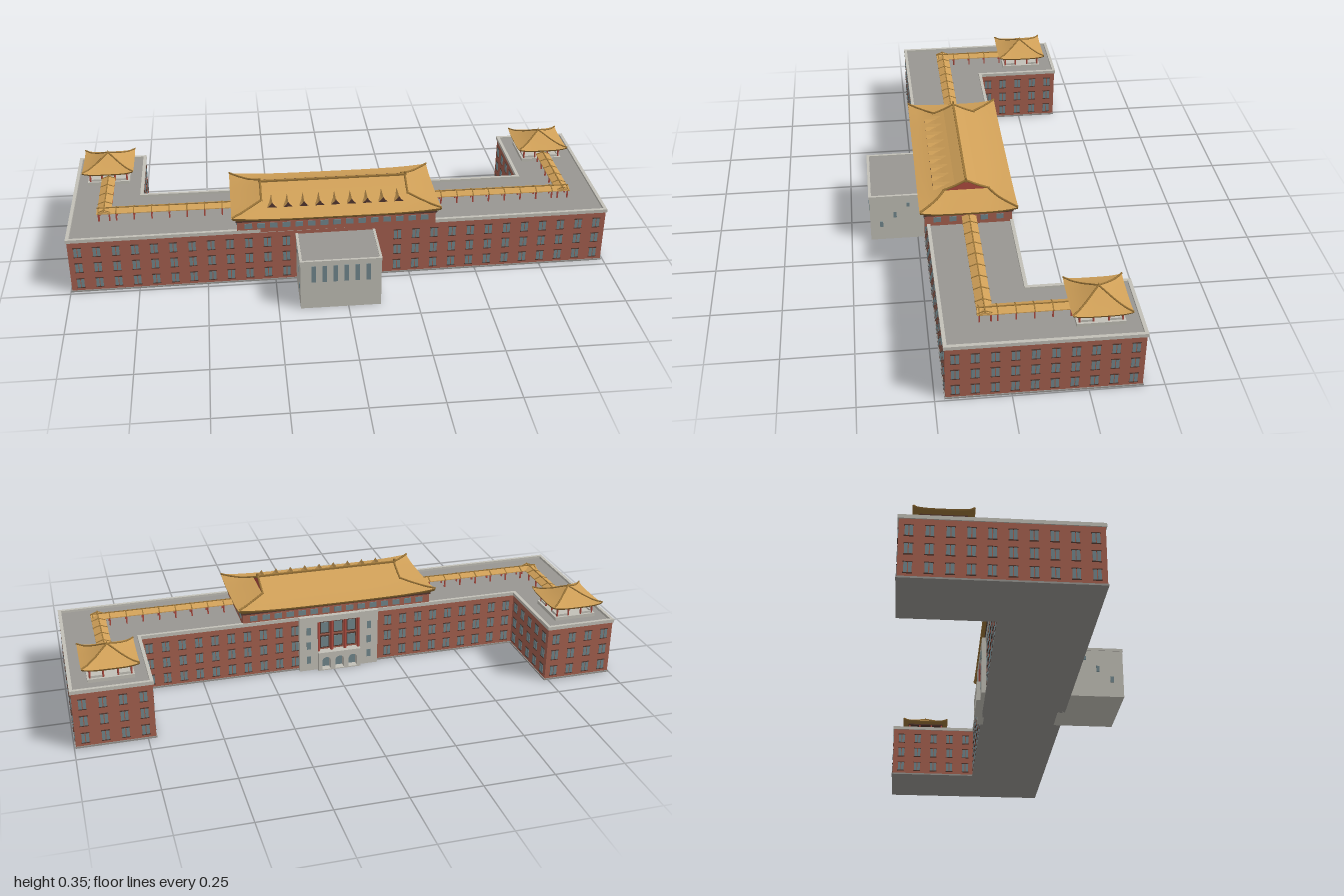
import * as THREE from 'three';
import { mergeGeometries } from 'three/addons/utils/BufferGeometryUtils.js';

const mat = (name, color, side = THREE.FrontSide) => {
  const m = new THREE.MeshStandardMaterial({ color, side });
  m.name = name;
  return m;
};

export function createModel() {
  const model = new THREE.Group();
  const brick = mat('brick', 0xa5604f), stone = mat('pale stone', 0xc2c0b7), deck = mat('grey deck', 0x989692);
  const glass = mat('window glass', 0x71878d), gold = mat('golden tile', 0xd0a058, THREE.DoubleSide);
  const trim = mat('dark gold trim', 0x9a7437), red = mat('red timber', 0xb04c40), dark = mat('dark frame', 0x54382f);

  const add = (name, geo, material, parent = model) => {
    const m = new THREE.Mesh(geo, material);
    m.name = name;
    parent.add(m);
    return m;
  };
  const box = (w, h, d, x, y, z) => new THREE.BoxGeometry(w, h, d).translate(x, y, z);
  // box given by its limits
  const span = (x0, x1, y0, y1, z0, z1) => box(x1 - x0, y1 - y0, z1 - z0, (x0 + x1) / 2, (y0 + y1) / 2, (z0 + z1) / 2);

  // ---- U-shaped main block: corner x, z and the direction towards the inside
  const corners = [[-0.995, 0.235, 1, -1], [0.99, 0.215, -1, -1], [0.994, -0.427, -1, 1], [0.722, -0.427, 1, 1],
    [0.722, -0.08, 1, 1], [-0.737, -0.08, -1, 1], [-0.737, -0.403, -1, 1], [-0.995, -0.403, 1, 1]];
  const outline = inset => corners.map(([x, z, sx, sz]) => new THREE.Vector2(x + sx * inset, -(z + sz * inset)));
  const slab = (outer, y0, y1, inner) => {
    const s = new THREE.Shape(outline(outer));
    if (inner !== undefined) s.holes.push(new THREE.Path(outline(inner)));
    return new THREE.ExtrudeGeometry(s, { depth: y1 - y0, bevelEnabled: false }).rotateX(-Math.PI / 2).translate(0, y0, 0);
  };
  add('mainWalls', slab(0, 0, 0.212), [deck, brick]);
  add('plinth', slab(-0.003, 0, 0.006), deck);
  add('parapet', slab(-0.004, 0.208, 0.221, 0.008), stone);

  // ---- paired windows in three floors along every outer wall
  const panes = [], frames = [];
  corners.forEach(([ax, az], e) => {
    const [bx, bz] = corners[(e + 1) % corners.length];
    const len = Math.hypot(bx - ax, bz - az), dx = (bx - ax) / len, dz = (bz - az) / len;
    const pitch = e === 0 ? 0.068 : 0.0595, n = Math.round((len - 0.02) / pitch);
    for (let i = 0; i < n; i++) {
      const t = (i + 0.5) * len / n, x = ax + dx * t, z = az + dz * t;
      if (e === 0 && Math.abs(x + 0.025) < 0.165) continue;
      if (e === 4 && Math.abs(x + 0.022) < 0.165) continue;
      for (const y of [0.037, 0.102, 0.166]) {
        const place = g => g.rotateY(Math.atan2(-dz, dx)).translate(x, y, z);
        for (const s of [-1, 1]) panes.push(place(box(0.011, 0.035, 0.005, s * 0.0072, 0, 0)));
        frames.push(place(box(0.03, 0.003, 0.006, 0, 0.019, 0)), place(box(0.03, 0.003, 0.006, 0, -0.019, 0)));
      }
    }
  });
  add('wallWindows', mergeGeometries(panes), glass);
  add('windowSills', mergeGeometries(frames), dark);

  // ---- front annex
  add('annex', span(-0.172, 0.117, 0, 0.19, 0.2, 0.427), stone);
  add('annexRoof', span(-0.164, 0.109, 0.19, 0.192, 0.2, 0.419), deck);
  add('annexParapet', mergeGeometries([span(-0.174, 0.119, 0.186, 0.196, 0.42, 0.429),
    span(-0.174, -0.165, 0.186, 0.196, 0.2, 0.429), span(0.11, 0.119, 0.186, 0.196, 0.2, 0.429)]), stone);
  const annexPanes = [];
  for (let i = 0; i < 6; i++) annexPanes.push(box(0.016, 0.066, 0.004, -0.125 + i * 0.039, 0.142, 0.427));
  for (const x of [-0.172, 0.117])
    for (const [z, y] of [[0.385, 0.07], [0.333, 0.111], [0.283, 0.154]])
      annexPanes.push(box(0.004, y < 0.15 ? 0.024 : 0.016, 0.012, x, y, z));
  add('annexWindows', mergeGeometries(annexPanes), glass);

  // ---- roof helpers
  // four hipped sides through rings [halfX, halfZ, height, cornerLift]
  const hipped = rings => {
    const parts = [], N = 12;
    for (let k = 0; k < 4; k++) {
      const pos = [], idx = [];
      rings.forEach(([hx, hz, y, lift], j) => {
        for (let i = 0; i <= N; i++) {
          const s = i / N * 2 - 1;
          pos.push(s * (k % 2 ? hz : hx), y + lift * Math.abs(s) ** 4, k % 2 ? hx : hz);
          if (j && i) {
            const c = j * (N + 1) + i, b = c - N - 1;
            idx.push(b - 1, b, c, b - 1, c, c - 1);
          }
        }
      });
      const g = new THREE.BufferGeometry();
      g.setAttribute('position', new THREE.Float32BufferAttribute(pos, 3));
      g.setIndex(idx);
      g.computeVertexNormals();
      parts.push(g.rotateY(k * Math.PI / 2));
    }
    return mergeGeometries(parts);
  };
  // raised ribs along the four hips
  const hipRibs = (rings, r) => {
    const ribs = [];
    for (const sx of [-1, 1]) for (const sz of [-1, 1]) {
      const curve = new THREE.CatmullRomCurve3(rings.map(([hx, hz, y, l]) => new THREE.Vector3(sx * hx, y + l + r * 0.4, sz * hz)));
      ribs.push(new THREE.TubeGeometry(curve, 12, r, 6));
    }
    return mergeGeometries(ribs);
  };
  // closed gable roof along x, section points [z, y]
  const gable = (section, len) => new THREE.ExtrudeGeometry(new THREE.Shape(section.map(p => new THREE.Vector2(...p))),
    { depth: len, bevelEnabled: false }).translate(0, 0, -len / 2).rotateY(Math.PI / 2);

  // ---- central hall
  const hall = new THREE.Group();
  hall.name = 'centralHall';
  hall.position.set(-0.022, 0, 0.076);
  model.add(hall);
  add('hallWalls', box(0.726, 0.052, 0.312, 0, 0.236, 0), brick, hall);
  add('hallBeam', box(0.735, 0.006, 0.32, 0, 0.259, 0), dark, hall);
  const hallPanes = [];
  for (let i = 0; i < 15; i++)
    for (const z of [-0.156, 0.156]) hallPanes.push(box(0.028, 0.02, 0.005, (i - 7) * 0.046, 0.238, z));
  for (let i = 0; i < 5; i++)
    for (const x of [-0.363, 0.363]) hallPanes.push(box(0.005, 0.02, 0.026, x, 0.238, (i - 2) * 0.056));
  add('hallWindows', mergeGeometries(hallPanes), glass, hall);
  const rings = [[0.382, 0.175, 0.272, 0.011], [0.35, 0.145, 0.278, 0.005], [0.31, 0.108, 0.287, 0.001], [0.272, 0.08, 0.298, 0]];
  add('hallEaves', hipped([[0.362, 0.156, 0.26, 0], [0.38, 0.173, 0.264, 0.011], [0.382, 0.175, 0.272, 0.011]]), trim, hall);
  add('hallLowerRoof', hipped(rings), gold, hall);
  add('hallHipRibs', hipRibs(rings, 0.004), trim, hall);
  const upper = [[-0.083, 0.295], [0.083, 0.295], [0.04, 0.313], [0, 0.334], [-0.04, 0.313]];
  add('hallUpperRoof', gable(upper, 0.544), [red, gold], hall);
  const verges = [];
  for (const x of [-0.27, 0.27]) for (const s of [-1, 1])
    verges.push(new THREE.TubeGeometry(new THREE.CatmullRomCurve3([[0.085, 0.297], [0.04, 0.315], [0, 0.336]]
      .map(([z, y]) => new THREE.Vector3(x, y, s * z))), 8, 0.004, 6));
  for (const s of [-1, 1]) verges.push(box(0.008, 0.014, 0.006, s * 0.272, 0.34, 0));
  verges.push(box(0.55, 0.009, 0.008, 0, 0.334, 0));
  add('hallRidge', mergeGeometries(verges.map(g => g.toNonIndexed())), trim, hall);

  // row of dormers on the front slope
  for (let i = 0; i < 9; i++) {
    const x = (i - 4) * 0.058;
    add('dormerFace', box(0.02, 0.022, 0.05, x, 0.283, 0.084), dark, hall);
    add('dormerRoof', gable([[-0.017, 0.288], [0.017, 0.288], [0.006, 0.299], [0, 0.309], [-0.006, 0.299]], 0.062)
      .rotateY(Math.PI / 2).translate(x, 0, 0.086), [dark, gold], hall);
  }

  // ---- rear entrance
  const portal = new THREE.Group();
  portal.name = 'rearEntrance';
  portal.position.set(-0.022, 0, -0.08);
  model.add(portal);
  for (const s of [-1, 1]) {
    add('stonePier', box(0.07, 0.222, 0.024, s * 0.118, 0.111, -0.006), stone, portal);
    for (const y of [0.045, 0.105, 0.165]) add('pierWindow', box(0.016, 0.03, 0.004, s * 0.118, y, -0.018), glass, portal);
  }
  const arcade = new THREE.Shape([[-0.083, 0], [0.083, 0], [0.083, 0.075], [-0.083, 0.075]].map(p => new THREE.Vector2(...p)));
  for (const x of [-0.052, 0, 0.052]) {
    const arch = new THREE.Path();
    arch.moveTo(x - 0.017, 0.004);
    arch.lineTo(x + 0.017, 0.004);
    arch.lineTo(x + 0.017, 0.038);
    arch.absarc(x, 0.038, 0.017, 0, Math.PI);
    arch.lineTo(x - 0.017, 0.004);
    arcade.holes.push(arch);
  }
  add('arcade', new THREE.ExtrudeGeometry(arcade, { depth: 0.032, bevelEnabled: false, curveSegments: 10 }).translate(0, 0, -0.032), stone, portal);
  add('arcadeDoors', box(0.16, 0.065, 0.004, 0, 0.034, -0.003), glass, portal);
  for (const x of [-0.052, 0, 0.052])
    for (const y of [0.108, 0.168]) {
      add('entranceFrame', box(0.038, 0.052, 0.004, x, y, -0.001), dark, portal);
      add('entranceWindow', box(0.03, 0.042, 0.006, x, y, -0.002), glass, portal);
    }
  for (const x of [-0.078, -0.026, 0.026, 0.078])
    add('redColumn', new THREE.CylinderGeometry(0.006, 0.006, 0.125, 10).translate(x, 0.1375, -0.01), red, portal);
  add('entranceLintel', box(0.166, 0.022, 0.02, 0, 0.21, -0.008), stone, portal);

  // ---- corner pavilions
  for (const [x, z] of [[-0.87, -0.265], [0.853, -0.291]]) {
    const p = new THREE.Group();
    p.name = 'pavilion';
    p.position.set(x, 0, z);
    model.add(p);
    add('pavilionBase', box(0.16, 0.014, 0.16, 0, 0.218, 0), stone, p);
    const posts = [], rails = [];
    for (let k = 0; k < 4; k++) {
      for (const s of [-1, -0.36, 0.36])
        posts.push(new THREE.CylinderGeometry(0.0035, 0.0035, 0.042, 8).translate(s * 0.07, 0.242, 0.07).rotateY(k * Math.PI / 2));
      for (const s of [-1, 1]) rails.push(box(0.045, 0.008, 0.004, s * 0.047, 0.229, 0.07).rotateY(k * Math.PI / 2));
    }
    add('pavilionPosts', mergeGeometries(posts), red, p);
    add('pavilionRails', mergeGeometries(rails), stone, p);
    add('pavilionBeam', box(0.15, 0.007, 0.15, 0, 0.258, 0), dark, p);
    const pr = [[0.098, 0.098, 0.267, 0.008], [0.075, 0.075, 0.274, 0.002], [0.045, 0.045, 0.287, 0], [0.018, 0.018, 0.302, 0], [0.001, 0.001, 0.311, 0]];
    add('pavilionEaves', hipped([[0.072, 0.072, 0.259, 0], [0.096, 0.096, 0.261, 0.008], [0.098, 0.098, 0.267, 0.008]]), trim, p);
    add('pavilionRoof', hipped(pr), gold, p);
    add('pavilionRibs', hipRibs(pr, 0.003), trim, p);
    add('pavilionFinial', new THREE.ConeGeometry(0.005, 0.016, 8).translate(0, 0.315, 0), trim, p);
  }

  // ---- roofed walkways linking hall and pavilions
  const walkway = (len, x, z, turn) => {
    const g = new THREE.Group();
    g.name = 'walkway';
    g.position.set(x, 0, z);
    g.rotation.y = turn;
    model.add(g);
    add('walkwayRoof', gable([[-0.026, 0.242], [0.026, 0.242], [0.026, 0.245], [0, 0.255], [-0.026, 0.245]], len), gold, g);
    const posts = [], ribs = [box(len, 0.004, 0.004, 0, 0.255, 0)], n = Math.round(len / 0.065);
    for (let i = 0; i <= n; i++) {
      const t = (i / n - 0.5) * (len - 0.012);
      for (const s of [-1, 1]) posts.push(box(0.005, 0.034, 0.005, t, 0.227, s * 0.019));
      ribs.push(gable([[-0.027, 0.243], [0.027, 0.243], [0.027, 0.246], [0, 0.257], [-0.027, 0.246]], 0.004).translate(t, 0, 0));
    }
    add('walkwayPosts', mergeGeometries(posts), red, g);
    add('walkwayRibs', mergeGeometries(ribs.map(r => (r.index ? r.toNonIndexed() : r))), trim, g);
  };
  walkway(0.53, -0.63, 0.075, 0);
  walkway(0.56, 0.6, 0.075, 0);
  walkway(0.28, -0.868, -0.04, Math.PI / 2);
  walkway(0.31, 0.855, -0.055, Math.PI / 2);

  return model;
}
